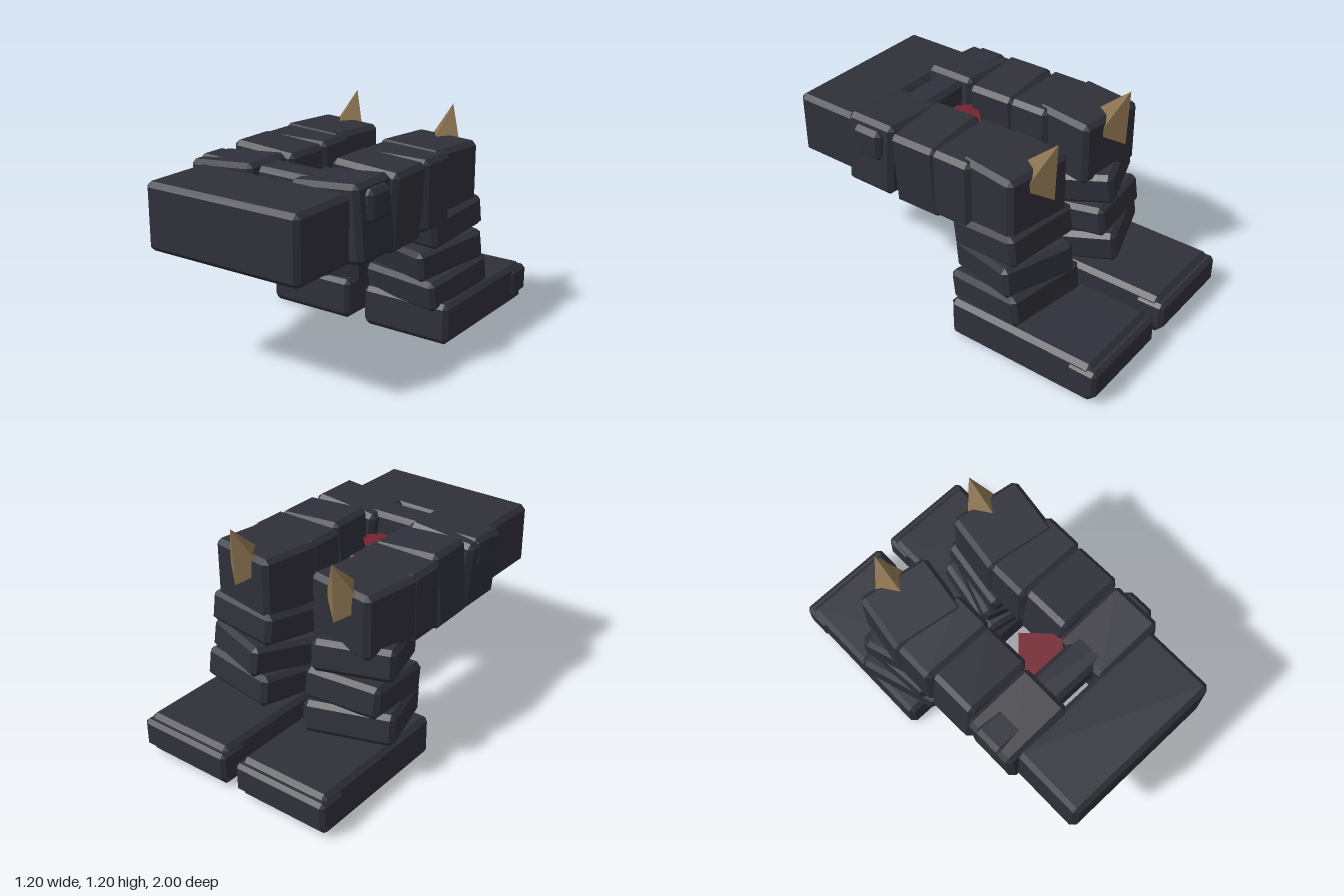
import * as THREE from 'three';
import { ConvexGeometry } from 'three/addons/geometries/ConvexGeometry.js';

const material = (name, color) => {
  const m = new THREE.MeshStandardMaterial({ color });
  m.name = name;
  return m;
};

// Box with flat chamfers on every edge
function chamferBox(w, h, d, c = 0.025) {
  const pts = [];
  for (const sx of [-1, 1]) for (const sy of [-1, 1]) for (const sz of [-1, 1]) {
    const x = w / 2, y = h / 2, z = d / 2;
    pts.push(
      new THREE.Vector3(sx * x, sy * (y - c), sz * (z - c)),
      new THREE.Vector3(sx * (x - c), sy * y, sz * (z - c)),
      new THREE.Vector3(sx * (x - c), sy * (y - c), sz * z));
  }
  return new ConvexGeometry(pts);
}

export function createModel() {
  const model = new THREE.Group();
  const cloth = material('charcoal cloth', 0x2f3039);
  const horn = material('horn', 0x8b7350);
  const gem = material('dark red', 0x732430);

  // size and centre in units, rot = [pitch, yaw, roll] in degrees
  function block(parent, name, size, pos, rot = [0, 0, 0], chamfer) {
    const mesh = new THREE.Mesh(chamferBox(...size, chamfer), cloth);
    mesh.name = name;
    mesh.position.set(...pos);
    mesh.rotation.set(...rot.map(THREE.MathUtils.degToRad), 'YXZ');
    parent.add(mesh);
  }

  // Waist, with a belt bar joining the hips
  block(model, 'waist', [0.92, 0.35, 0.42], [0.01, 0.825, 0.79]);
  block(model, 'beltBar', [1.07, 0.17, 0.18], [0.015, 0.935, 0.455], [0, 0, -0.8]);

  // Red point hanging between the thighs
  const point = new THREE.Mesh(new ConvexGeometry([
    [0.01, 0.57, 0.29], [0.17, 0.9, 0.29], [-0.15, 0.9, 0.29],
    [0.01, 0.9, 0.13], [0.01, 0.9, 0.45],
  ].map(p => new THREE.Vector3(...p))), gem);
  point.name = 'centrePoint';
  model.add(point);

  // Knee spike, a leaning four-sided pyramid
  const spikeGeometry = new ConvexGeometry([
    [0, 1.197, -0.567], [0, 1.02, -0.36], [0, 0.885, -0.555],
    [0.117, 0.96, -0.46], [-0.117, 0.96, -0.46],
  ].map(p => new THREE.Vector3(...p)));

  // Each leg has its own twist in the three shin wraps
  const legs = [
    { name: 'rightLeg', x: -0.305, yaw: [20, 6, 19], w: [0.43, 0.43, 0.48] },
    { name: 'leftLeg', x: 0.325, yaw: [-7, -18, -9], w: [0.45, 0.43, 0.48] },
  ];
  for (const { name, x, yaw, w } of legs) {
    const leg = new THREE.Group();
    leg.name = name;
    leg.position.x = x;
    model.add(leg);

    // Thigh segments from hip to knee
    block(leg, 'hip', [0.4, 0.39, 0.3], [0, 0.835, 0.46], [0, 0, 5]);
    block(leg, 'upperThigh', [0.39, 0.415, 0.285], [0, 0.838, 0.168], [0, 1, -4]);
    block(leg, 'lowerThigh', [0.42, 0.38, 0.24], [0, 0.85, -0.08]);
    block(leg, 'knee', [0.4, 0.35, 0.35], [0, 0.873, -0.315], [0, -8.5, 0]);

    // Shin wraps
    [0.64, 0.455, 0.3].forEach((y, i) =>
      block(leg, 'shinWrap', [w[i], 0.17, [0.42, 0.45, 0.47][i]],
        [0, y, -0.31 - i * 0.01], [8, yaw[i], 0]));

    // Foot with a raised band around its far end
    block(leg, 'foot', [0.53, 0.22, 0.86], [-0.003, 0.118, -0.535]);
    block(leg, 'footBand', [0.555, 0.16, 0.17], [-0.003, 0.125, -0.915], [0, 0, 0], 0.02);
    block(leg, 'footSole', [0.53, 0.21, 0.86], [-0.003, 0.105, -0.54]);

    const spike = new THREE.Mesh(spikeGeometry, horn);
    spike.name = 'kneeSpike';
    leg.add(spike);
  }
  return model;
}
